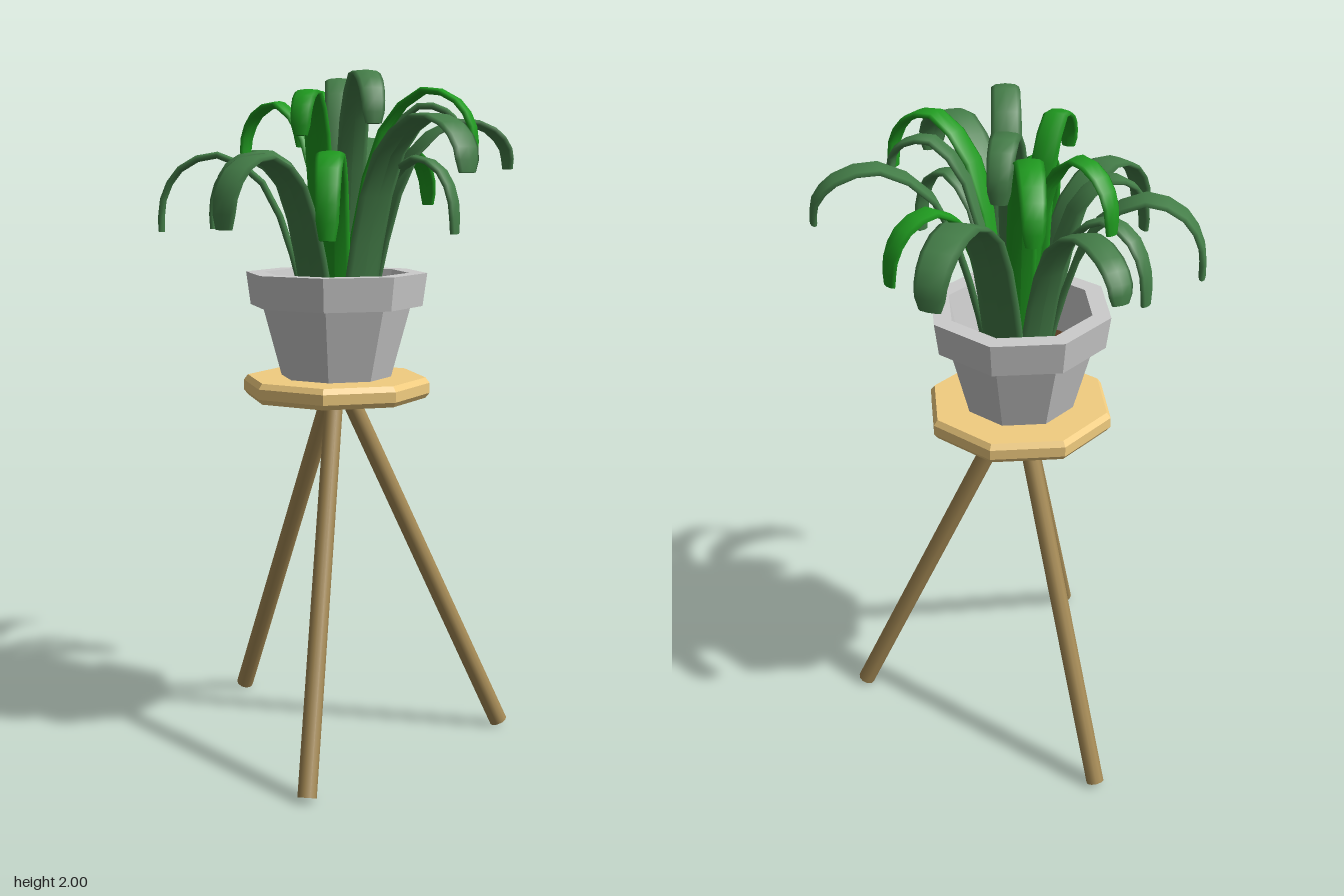
import * as THREE from 'three';

const CX = -0.005, CZ = 0.024;

const flat = (color) => new THREE.MeshStandardMaterial({ color, flatShading: true });
const seatWood = flat(0xf2cd80);
const legWood = new THREE.MeshStandardMaterial({ color: 0xa58a55 });
const grey = flat(0xcccccc);
const soilBrown = flat(0x5a3b24);
const darkGreen = new THREE.MeshStandardMaterial({ color: 0x447d48 });
const brightGreen = new THREE.MeshStandardMaterial({ color: 0x1f9a1f });

function add(parent, name, geometry, material) {
  const mesh = new THREE.Mesh(geometry, material);
  mesh.name = name;
  parent.add(mesh);
  return mesh;
}

// Eight-sided turned part; the profile runs up the outside
function octagon(parent, name, profile, material) {
  const points = profile.map(([r, y]) => new THREE.Vector2(r, y));
  const mesh = add(parent, name, new THREE.LatheGeometry(points, 8), material);
  mesh.position.set(CX, 0, CZ);
}

// Round stick between two points
function leg(parent, top, foot) {
  const a = new THREE.Vector3(...top), b = new THREE.Vector3(...foot);
  const axis = a.clone().sub(b);
  const mesh = add(parent, 'leg', new THREE.CylinderGeometry(0.027, 0.027, axis.length(), 10), legWood);
  mesh.position.copy(a).add(b).multiplyScalar(0.5);
  mesh.quaternion.setFromUnitVectors(new THREE.Vector3(0, 1, 0), axis.normalize());
}

// Arching blade: a flattened cylinder swept along a curve that rises, bends over and hangs at the tip
function leafGeometry(tipX, tipZ, peak, tipY, width, root) {
  const base = 1.28, rise = peak - base, drop = peak - tipY;
  const start = new THREE.Vector3(root[0], 0, root[1]);
  const span = new THREE.Vector3(tipX, 0, tipZ).sub(start);
  const out = span.clone().normalize();
  const side = new THREE.Vector3(out.z, 0, -out.x);
  const at = (f, y) => start.clone().addScaledVector(span, f).setY(y);
  const curve = new THREE.CatmullRomCurve3([
    at(0, base),
    at(0.11, base + rise * 0.4),
    at(0.31, base + rise * 0.82),
    at(0.61, peak - 0.01),
    at(0.86, peak - drop * 0.22),
    at(0.975, peak - drop * 0.6),
    at(0.99, tipY),
  ]);
  const geometry = new THREE.CylinderGeometry(1, 1, 1, 8, 12);
  const pos = geometry.attributes.position;
  const p = new THREE.Vector3();
  for (let i = 0; i < pos.count; i++) {
    p.fromBufferAttribute(pos, i);
    const u = THREE.MathUtils.clamp(p.y + 0.5, 0, 1);
    const normal = side.clone().cross(curve.getTangent(u));
    const half = width * 0.5 * (1 - 0.38 * u * u) * (u > 0.97 ? 0.8 : 1);
    const v = curve.getPoint(u)
      .addScaledVector(side, p.x * half)
      .addScaledVector(normal, p.z * 0.01);
    pos.setXYZ(i, v.x, v.y, v.z);
  }
  geometry.computeVertexNormals();
  return geometry;
}

export function createModel() {
  const model = new THREE.Group();
  model.name = 'pottedPlantOnStool';

  // Stool
  const stool = new THREE.Group();
  stool.name = 'stool';
  model.add(stool);
  octagon(stool, 'seat', [
    [0, 1.06], [0.268, 1.06], [0.28, 1.075], [0.28, 1.105], [0.268, 1.121], [0, 1.121],
  ], seatWood);
  leg(stool, [-0.03, 1.063, 0.025], [-0.515, 0.012, 0.025]);
  leg(stool, [0.01, 1.063, -0.01], [0.26, 0.012, -0.418]);
  leg(stool, [0.014, 1.063, 0.045], [0.348, 0.012, 0.396]);

  // Pot with an overhanging rim and a hollow inside
  const pot = new THREE.Group();
  pot.name = 'pot';
  model.add(pot);
  octagon(pot, 'potBody', [
    [0, 1.122], [0.165, 1.122], [0.222, 1.333], [0.257, 1.333], [0.27, 1.43], [0.215, 1.43], [0.18, 1.26],
  ], grey);
  octagon(pot, 'soil', [[0.186, 1.285], [0, 1.285]], soilBrown);

  // Leaves: tip x, tip z, peak height, tip height, base width, material, optional root x and z
  const leaves = [
    // long outer leaves
    [0.555, 0.015, 1.88, 1.72, 0.125, darkGreen],
    [-0.555, 0.02, 1.79, 1.67, 0.1, darkGreen],
    [-0.37, -0.42, 1.83, 1.67, 0.125, darkGreen],
    [0.15, -0.525, 1.88, 1.73, 0.115, darkGreen],
    [-0.3, 0.445, 1.78, 1.55, 0.125, darkGreen],
    [0.16, 0.525, 1.77, 1.57, 0.115, darkGreen],
    // middle leaves
    [-0.09, -0.41, 1.8, 1.62, 0.09, brightGreen],
    [0.37, -0.11, 1.77, 1.55, 0.08, darkGreen],
    [0.305, 0.29, 1.78, 1.54, 0.09, brightGreen],
    [-0.035, 0.415, 1.78, 1.6, 0.095, darkGreen],
    [-0.38, 0.21, 1.77, 1.55, 0.08, darkGreen],
    // tall inner leaves, rooted across the middle
    [-0.41, -0.15, 1.97, 1.8, 0.085, brightGreen, [-0.01, 0.02]],
    [0.35, -0.2, 1.96, 1.77, 0.085, brightGreen, [0, 0]],
    [-0.33, 0.125, 1.93, 1.75, 0.08, brightGreen, [0, 0.025]],
    [0.145, 0.26, 1.95, 1.82, 0.08, brightGreen, [-0.025, 0.05]],
    [0.215, -0.265, 1.92, 1.81, 0.08, darkGreen, [0, -0.03]],
    [0.315, 0.14, 2, 1.85, 0.09, darkGreen, [0, -0.01]],
    [-0.23, -0.155, 2, 1.85, 0.09, darkGreen, [0.03, 0.035]],
  ];
  const plant = new THREE.Group();
  plant.name = 'plant';
  model.add(plant);
  for (const [x, z, peak, tip, width, material, root = [x * 0.16, z * 0.16 + 0.02]] of leaves) {
    add(plant, 'leaf', leafGeometry(x, z, peak, tip, width, root), material);
  }
  return model;
}
